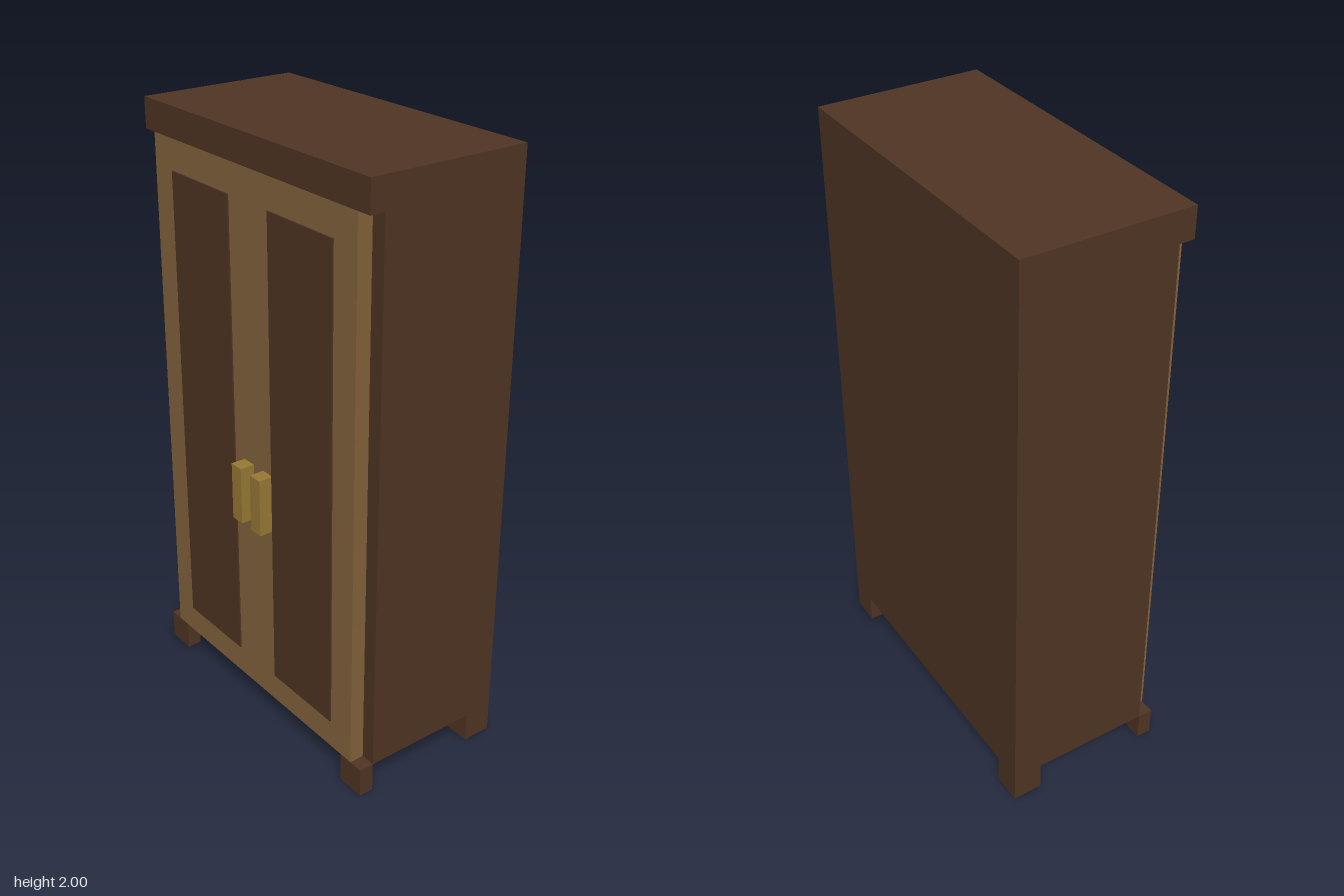
import * as THREE from 'three';

export function createModel() {
  const wardrobe = new THREE.Group();
  wardrobe.name = 'wardrobe';

  const material = (name, color) => {
    const m = new THREE.MeshStandardMaterial({ color });
    m.name = name;
    return m;
  };
  const darkWood = material('darkWood', 0x503524);
  const lightWood = material('lightWood', 0x85643c);
  const brass = material('brass', 0x9a7b35);

  // Box given by its extents on each axis
  const box = (name, mat, [x0, x1], [y0, y1], [z0, z1]) => {
    const mesh = new THREE.Mesh(new THREE.BoxGeometry(x1 - x0, y1 - y0, z1 - z0), mat);
    mesh.position.set((x0 + x1) / 2, (y0 + y1) / 2, (z0 + z1) / 2);
    mesh.name = name;
    wardrobe.add(mesh);
  };

  // Cabinet body and overhanging top
  box('body', darkWood, [-0.55, 0.55], [0.1, 1.9], [-0.3, 0.2]);
  box('cornice', darkWood, [-0.55, 0.55], [1.9, 2], [-0.3, 0.25]);

  // Doors, each with a slightly raised panel
  for (const [side, s] of [['left', 1], ['right', -1]]) {
    const span = (a, b) => (s > 0 ? [a, b] : [-b, -a]);
    box(side + 'Door', lightWood, span(0, 0.5), [0.1, 1.9], [0.2, 0.25]);
    box(side + 'DoorPanel', darkWood, span(0.1, 0.4), [0.2, 1.8], [0.25, 0.255]);

    // Shallow front feet and square back feet
    box(side + 'FrontFoot', darkWood, span(0.45, 0.55), [0, 0.1], [0.2, 0.25]);
    box(side + 'BackFoot', darkWood, span(0.45, 0.55), [0, 0.1], [-0.3, -0.2]);
  }

  // Handles
  box('rightHandle', brass, [-0.05, 0], [0.755, 0.95], [0.25, 0.3]);
  box('leftHandle', brass, [0.05, 0.1], [0.755, 0.95], [0.25, 0.3]);

  return wardrobe;
}
